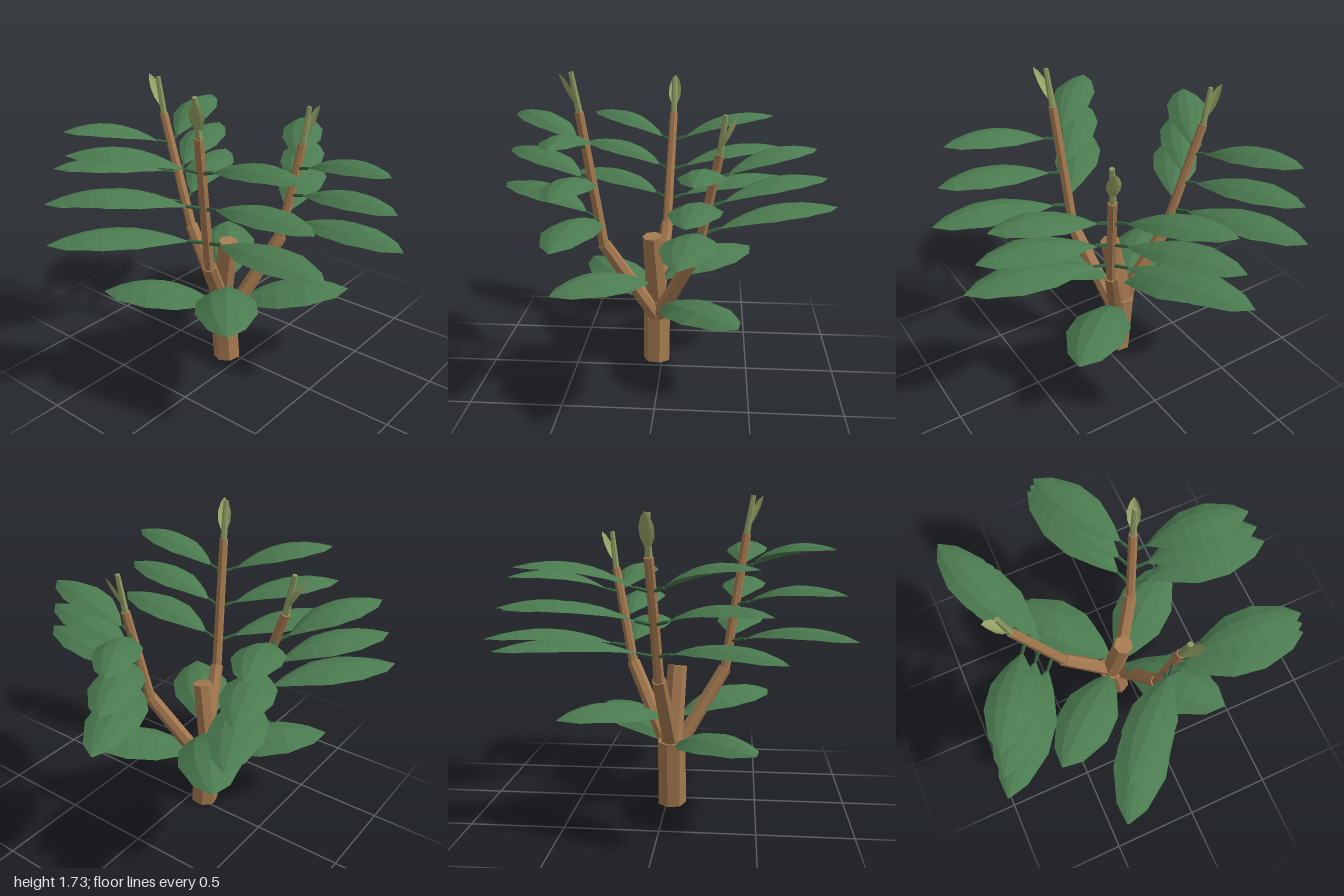
import * as THREE from 'three';

const V = (x, y, z) => new THREE.Vector3(x, y, z);
const mat = (color, side = THREE.FrontSide) =>
  new THREE.MeshStandardMaterial({ color, flatShading: true, side });

const bark = mat(0xa67a50);
const petioleGreen = mat(0x37603f);
const leafGreen = mat(0x4b7b50, THREE.DoubleSide);
const budGreen = mat(0x9aa868, THREE.DoubleSide);
const stemGreen = mat(0x8d9a62);

// Tapered cylinder between two points
function limb(name, a, b, r0, r1, material, sides = 7) {
  const d = b.clone().sub(a);
  const mesh = new THREE.Mesh(new THREE.CylinderGeometry(r1, r0, d.length(), sides), material);
  mesh.position.copy(a).add(b).multiplyScalar(0.5);
  mesh.quaternion.setFromUnitVectors(V(0, 1, 0), d.normalize());
  mesh.name = name;
  return mesh;
}

// Half-width along the blade from base to tip
const outline = [0.06, 0.42, 0.72, 0.93, 1, 0.97, 0.8, 0.55, 0.03];

// Arched blade: the midrib bows by "arch", the two edges hang by "droop"
function leaf(name, a, b, halfWidth, arch, droop, material) {
  const dir = b.clone().sub(a);
  const side = V(0, 1, 0).cross(dir).normalize();
  const normal = dir.clone().cross(side).normalize();
  const rows = outline.length, cols = 5, pos = [], idx = [];
  for (let i = 0; i < rows; i++) {
    const t = i / (rows - 1);
    for (let j = 0; j < cols; j++) {
      const s = j / 2 - 1;
      const serration = Math.abs(s) === 1 && i % 2 ? 1.05 : 1;
      const p = a.clone().addScaledVector(dir, t)
        .addScaledVector(side, s * halfWidth * outline[i] * serration)
        .addScaledVector(normal, arch * 4 * t * (1 - t) - droop * s * s * outline[i]);
      pos.push(p.x, p.y, p.z);
      if (i && j) {
        const n = i * cols + j;
        idx.push(n - cols - 1, n - cols, n, n - cols - 1, n, n - 1);
      }
    }
  }
  const geo = new THREE.BufferGeometry();
  geo.setAttribute('position', new THREE.Float32BufferAttribute(pos, 3));
  geo.setIndex(idx);
  geo.computeVertexNormals();
  const mesh = new THREE.Mesh(geo, material);
  mesh.name = name;
  return mesh;
}

// Each branch: joints, leaf-pair heights, and [lowest, highest] tip of both leaf stacks
const branches = [
  {
    name: 'leftBranch',
    joints: [V(-0.12, 0.36, 0.03), V(-0.39, 0.78, -0.01), V(-0.605, 1.42, -0.035), V(-0.64, 1.63, -0.035)],
    heights: [0.92, 1.26], budTip: V(-0.715, 1.635, -0.04),
    stacks: [
      [V(-0.94, 0.97, 0.62), V(-0.87, 1.38, 0.49)],
      [V(-0.76, 0.98, -0.77), V(-0.77, 1.38, -0.65)],
    ],
  },
  {
    name: 'backBranch',
    joints: [V(-0.07, 0.3, 0.02), V(0.12, 0.78, -0.215), V(0.18, 1.32, -0.32), V(0.2, 1.53, -0.345)],
    heights: [0.88, 1.19], budTip: V(0.225, 1.53, -0.41),
    stacks: [
      [V(0.93, 0.95, -0.14), V(0.8, 1.3, -0.2)],
      [V(-0.19, 0.95, -1), V(-0.17, 1.29, -0.86)],
    ],
  },
  {
    name: 'frontBranch',
    joints: [V(-0.07, 0.3, 0.04), V(0.04, 0.77, 0.32), V(0.085, 1.52, 0.43), V(0.097, 1.73, 0.465)],
    heights: [0.93, 1.34], budTip: V(0.145, 1.73, 0.52),
    stacks: [
      [V(0.85, 0.99, 0.45), V(0.72, 1.44, 0.46)],
      [V(-0.44, 1.0, 0.99), V(-0.38, 1.45, 0.87)],
    ],
  },
];

function buildBranch({ name, joints, heights, budTip, stacks }) {
  const g = new THREE.Group();
  g.name = name;
  const [root, knee, top, tip] = joints;
  g.add(limb('lowerBranch', root, knee, 0.045, 0.038, bark));
  g.add(limb('upperBranch', knee.clone().lerp(top, -0.02), top, 0.029, 0.025, bark));

  // Growing tip with one young leaf
  g.add(limb('shootTip', top, tip, 0.019, 0.014, stemGreen, 6));
  g.add(leaf('youngLeaf', top.clone().lerp(tip, 0.1), budTip, 0.036, -0.008, -0.015, budGreen));

  // Three leaf pairs on short stalks
  for (let level = 0; level < 3; level++) {
    const k = level / 2;
    const y = THREE.MathUtils.lerp(heights[0], heights[1], k);
    const node = knee.clone().lerp(top, (y - knee.y) / (top.y - knee.y));
    for (const [low, high] of stacks) {
      const end = low.clone().lerp(high, k);
      const base = node.clone().lerp(end, 0.13);
      base.y = y + 0.015;
      g.add(limb('leafStalk', node.clone().setY(y - 0.01), base, 0.011, 0.009, petioleGreen, 5));
      g.add(leaf('leaf', base, end, 0.135 - 0.02 * k, 0.07, 0.045, leafGreen));
    }
  }
  return g;
}

export function createModel() {
  const model = new THREE.Group();
  model.name = 'plant';

  // Trunk in two lengths, the upper one cut off flat
  model.add(limb('trunk', V(-0.085, 0.01, 0.03), V(-0.115, 0.38, 0.03), 0.08, 0.08, bark));
  model.add(limb('cutTrunk', V(-0.12, 0.36, 0.03), V(-0.045, 0.795, 0.055), 0.062, 0.056, bark));

  for (const b of branches) model.add(buildBranch(b));

  // Two crossed pairs of broad leaves low on the trunk
  const lowLeaves = [
    [V(-0.13, 0.36, 0.06), V(-0.63, 0.46, 0.49)],
    [V(-0.06, 0.36, 0.0), V(0.46, 0.46, -0.43)],
    [V(-0.05, 0.51, 0.08), V(0.37, 0.58, 0.57)],
    [V(-0.11, 0.51, 0.0), V(-0.53, 0.59, -0.52)],
  ];
  for (const [a, b] of lowLeaves) model.add(leaf('lowLeaf', a, b, 0.165, 0.09, 0.07, leafGreen));

  return model;
}
